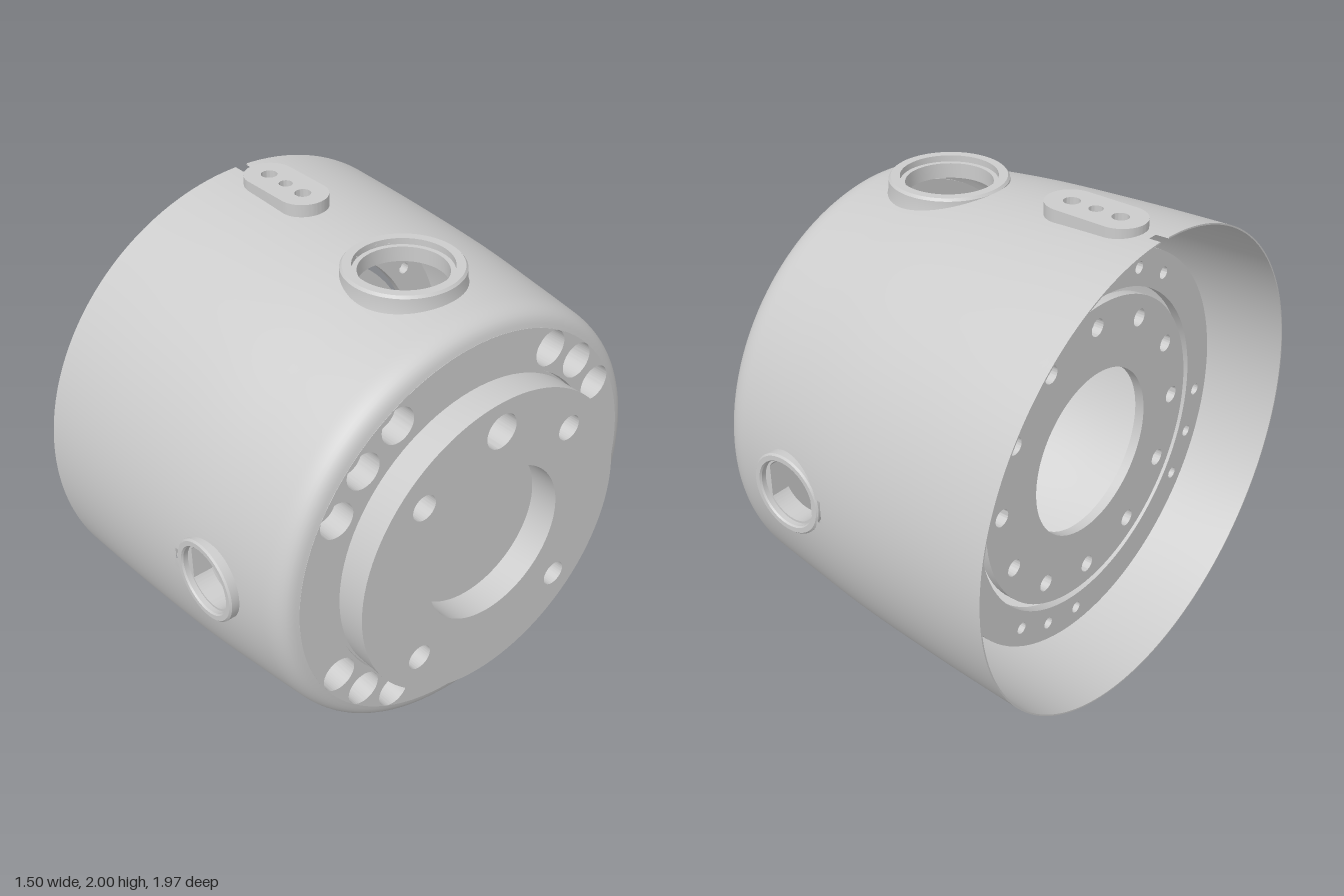
import * as THREE from 'three';
import { mergeGeometries, toCreasedNormals } from 'three/addons/utils/BufferGeometryUtils.js';

const CY = 0.985; // height of the main axis, which runs along x
const PORT_X = 0.22;
const V = (x, y) => new THREE.Vector2(x, y);
const material = new THREE.MeshStandardMaterial({ color: 0xcccccc, side: THREE.DoubleSide });

function add(group, name, geometry, y = 0) {
  const mesh = new THREE.Mesh(geometry, material);
  mesh.name = name;
  mesh.position.y = y;
  group.add(mesh);
  return mesh;
}

// Openings in the shell wall; y and z are measured from the main axis
function isOpen(x, y, z) {
  if (y > 0.5) {
    return Math.hypot(x - PORT_X, z) < 0.195
      || (Math.abs(x + 0.46) < 0.15 && Math.abs(z) < 0.05)
      || Math.hypot(x + 0.735, z) < 0.035;
  }
  if (Math.abs(z) < 0.5) return false;
  const d = Math.hypot(x - PORT_X, y);
  return d < 0.152 || (d > 0.16 && d < 0.185 && x < PORT_X && Math.abs(y) < 0.055);
}

// Lathe around the x axis from points (x, radius), leaving out the openings
function shellWall(points, segments = 240) {
  const geo = new THREE.LatheGeometry(points.map(p => V(p.y, p.x)), segments);
  geo.rotateZ(-Math.PI / 2);
  const p = geo.attributes.position, src = geo.index.array, kept = [];
  const v = new THREE.Vector3();
  for (let i = 0; i < src.length; i += 6) {
    // both triangles of a cell go together
    const c = new THREE.Vector3();
    for (let k = 0; k < 4; k++) c.addScaledVector(v.fromBufferAttribute(p, src[i + k]), 0.25);
    if (!isOpen(c.x, c.y, c.z)) for (let k = 0; k < 6; k++) kept.push(src[i + k]);
  }
  geo.setIndex(kept);
  return geo;
}

function circlePath(x, y, r) {
  return new THREE.Path().absarc(x, y, r, 0, Math.PI * 2, true);
}

// Round plate across the x axis, from x0 to x1, with holes [y, z, radius]
function plate(radius, holes, x0, x1) {
  const shape = new THREE.Shape().absarc(0, 0, radius, 0, Math.PI * 2, false);
  for (const [y, z, r] of holes) shape.holes.push(circlePath(-z, y, r));
  const geo = new THREE.ExtrudeGeometry(shape, { depth: x1 - x0, bevelEnabled: false, curveSegments: 48 });
  geo.rotateY(Math.PI / 2).translate(x0, 0, 0);
  return toCreasedNormals(geo, 0.5);
}

// Closed turned ring standing on the y axis
function ring(points) {
  const pts = points.map(([r, h]) => V(r, h));
  return toCreasedNormals(new THREE.LatheGeometry([...pts, pts[0]], 64), 0.5);
}

// Hole of radius r on a bolt circle, the angle running from the top towards +z
function boltHole(circle, degrees, r) {
  const a = THREE.MathUtils.degToRad(degrees);
  return [circle * Math.cos(a), circle * Math.sin(a), r];
}

// Four groups of three screw holes
function screws(firstGroup, r) {
  const list = [];
  for (let q = 0; q < 4; q++) for (const step of [-15, 0, 15]) {
    list.push(boltHole(0.742, firstGroup + q * 90 + step, r));
  }
  return list;
}

export function createModel() {
  const model = new THREE.Group();
  model.name = 'housing';

  // Slightly tapering thin shell with a rounded front shoulder
  const outer = new THREE.SplineCurve([
    V(-0.75, 0.985), V(-0.4, 0.973), V(0, 0.95), V(0.3, 0.918), V(0.48, 0.897), V(0.54, 0.888),
    V(0.58, 0.872), V(0.604, 0.848), V(0.615, 0.815)]).getSpacedPoints(84);
  const inner = new THREE.SplineCurve([
    V(0.51, 0.82), V(0.5, 0.86), V(0.46, 0.882), V(0.3, 0.903), V(0, 0.937), V(-0.4, 0.964), V(-0.75, 0.979)])
    .getSpacedPoints(72);
  add(model, 'shell', mergeGeometries([
    shellWall(outer), shellWall(inner), shellWall([V(-0.75, 0.979), V(-0.75, 0.985)])]), CY);

  // Front face of the shell with blind screw holes
  const face = [0, 0, 0.655];
  add(model, 'frontFace', plate(0.816, [face, ...screws(45, 0.073)], 0.52, 0.616), CY);
  add(model, 'screwSeat', plate(0.822, [face], 0.5, 0.52), CY);

  // Output flange, its four bolt holes and the pin hole
  const bolts = [45, 135, 225, 315].map(deg => boltHole(0.512, deg, 0.053));
  add(model, 'flange', plate(0.645, [[0, 0, 0.33], [0.517, 0, 0.072], ...bolts], 0.627, 0.75), CY);
  add(model, 'flangeBacking', plate(0.651, [[0.54, 0, 0.036]], 0.55, 0.6), CY);

  // Thin mounting rings inside the open back
  const ringHoles = [[0, 0, 0.35]];
  for (let i = 0; i < 12; i++) ringHoles.push(boltHole(0.55, i * 30, 0.036));
  add(model, 'innerMount', plate(0.64, ringHoles, -0.49, -0.45), CY);
  add(model, 'outerMount', plate(0.82, [[0, 0, 0.67], ...screws(20, 0.025)], -0.49, -0.45), CY);

  // Large round port on top
  add(model, 'topPort', ring([
    [0.24, 0.875], [0.232, 0.905], [0.23, 0.95], [0.222, 0.96], [0.187, 0.96],
    [0.187, 0.935], [0.168, 0.935], [0.168, 0.875]]), CY).position.x = PORT_X;

  // Side ports, each with a round opening that has two flats
  const flat = 0.105, round = 0.126, cut = Math.acos(flat / round);
  const keyed = new THREE.Shape().absarc(0, 0, 0.15, 0, Math.PI * 2, false);
  const hole = new THREE.Path();
  hole.absarc(0, 0, round, cut, Math.PI - cut, false);
  hole.absarc(0, 0, round, Math.PI + cut, -cut, false);
  hole.closePath();
  keyed.holes.push(hole);
  for (const side of [1, -1]) {
    const port = new THREE.Group();
    port.name = side > 0 ? 'frontPort' : 'rearPort';
    add(port, 'portRim', ring([
      [0.167, 0.87], [0.167, 0.94], [0.16, 0.947], [0.14, 0.947], [0.135, 0.94], [0.135, 0.87]])
      .rotateX(Math.PI / 2));
    add(port, 'portKeyway', toCreasedNormals(new THREE.ExtrudeGeometry(keyed,
      { depth: 0.08, bevelEnabled: false, curveSegments: 32 }), 0.5).translate(0, 0, 0.84));
    port.position.set(PORT_X, CY, 0);
    if (side < 0) port.rotation.y = Math.PI;
    model.add(port);
  }

  // Raised oblong pad with three contact holes
  const pad = new THREE.Shape();
  pad.absarc(0.105, 0, 0.1, -Math.PI / 2, Math.PI / 2, false);
  pad.absarc(-0.105, 0, 0.1, Math.PI / 2, Math.PI * 1.5, false);
  pad.closePath();
  for (const [x, r] of [[-0.105, 0.032], [0, 0.027], [0.105, 0.032]]) pad.holes.push(circlePath(x, 0, r));
  const padGeo = new THREE.ExtrudeGeometry(pad, { depth: 0.055, bevelEnabled: false, curveSegments: 24 });
  padGeo.rotateX(-Math.PI / 2);
  add(model, 'contactPad', toCreasedNormals(padGeo, 0.5), 1.945).position.x = -0.46;

  return model;
}
